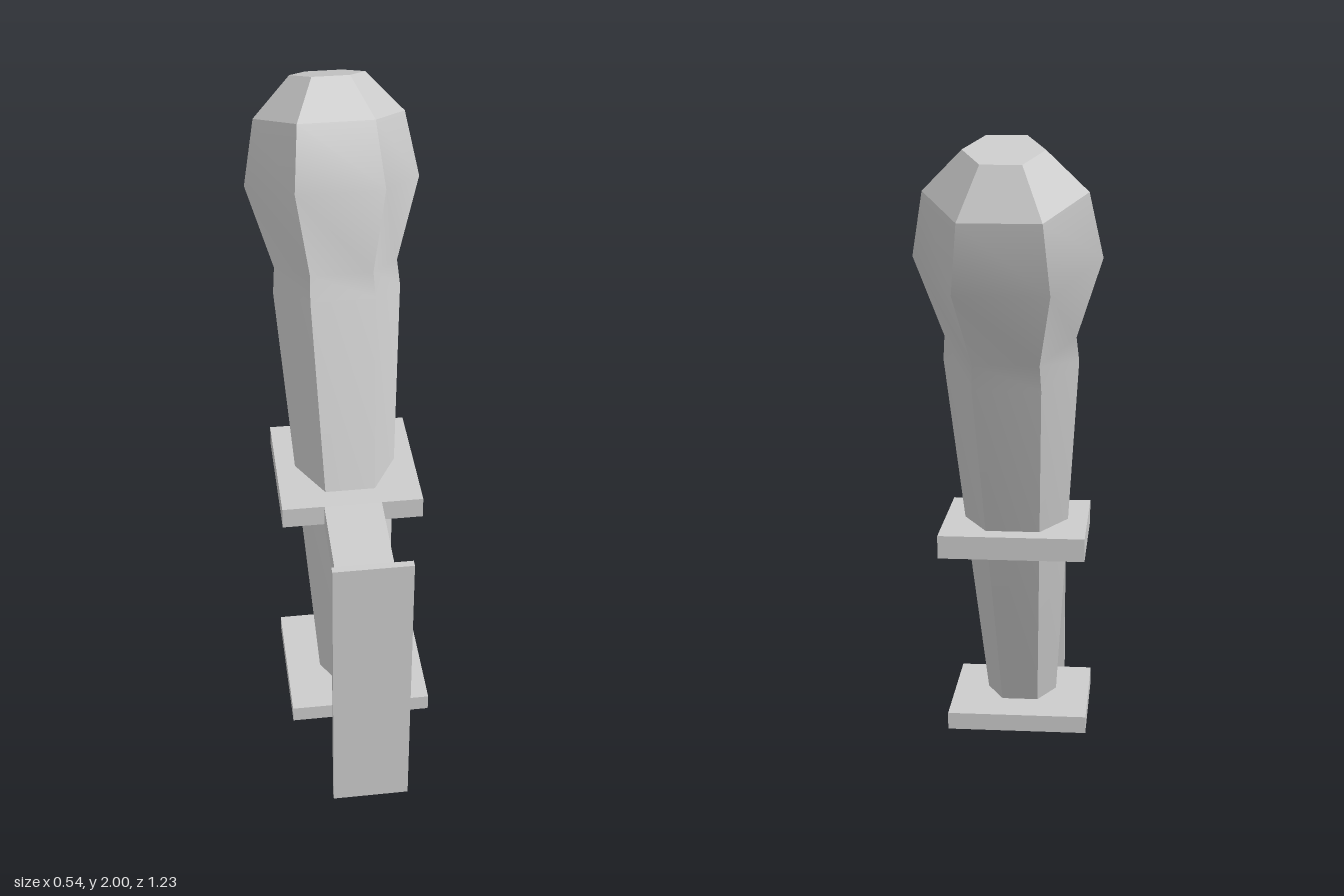
import * as THREE from 'three';
import { toCreasedNormals } from 'three/addons/utils/BufferGeometryUtils.js';

export function createModel() {
  const model = new THREE.Group();
  model.name = 'wallTorch';
  const material = new THREE.MeshStandardMaterial({ color: 0xcccccc });

  function add(name, geometry, parent = model) {
    const mesh = new THREE.Mesh(geometry, material);
    mesh.name = name;
    parent.add(mesh);
    return mesh;
  }

  // Six-sided lathe with corners on the +x and -x sides
  function hexLathe(profile, crease) {
    const points = profile.map(([r, y]) => new THREE.Vector2(r, y));
    return toCreasedNormals(new THREE.LatheGeometry(points, 6, Math.PI / 2), crease);
  }

  // Leaning torch: tapered shaft, bulging head and faceted crown
  const torch = new THREE.Group();
  torch.name = 'torch';
  torch.position.set(0, 0.055, 0.225);
  torch.rotation.x = -0.345;
  model.add(torch);
  add('shaftAndHead', hexLathe(
    [[0, 0], [0.104, 0], [0.198, 1.379], [0.191, 1.458], [0.268, 1.713], [0.23, 1.912]], 0.6), torch);
  add('crown', hexLathe([[0.23, 1.912], [0.114, 2.034], [0, 2.034]], 0.1), torch);

  // Wall plate
  add('wallPlate', new THREE.BoxGeometry(0.236, 0.955, 0.022)).position.set(0, 0.4775, 0.609);

  // Each bracket: a square holder around the shaft and a sloping arm to the wall plate
  const brackets = [
    { name: 'upper', bottom: 0.75, height: 0.07, back: -0.265, front: 0.165, wallBottom: 0.72 },
    { name: 'lower', bottom: 0.11, height: 0.054, back: -0.055, front: 0.375, wallBottom: 0.151 },
  ];
  for (const { name, bottom, height, back, front, wallBottom } of brackets) {
    add(name + 'Holder', new THREE.BoxGeometry(0.44, height, front - back))
      .position.set(0, bottom + height / 2, (front + back) / 2);

    const side = new THREE.Shape([
      new THREE.Vector2(front, bottom),
      new THREE.Vector2(0.6, wallBottom),
      new THREE.Vector2(0.6, wallBottom + height),
      new THREE.Vector2(front, bottom + height),
    ]);
    const arm = new THREE.ExtrudeGeometry(side, { depth: 0.18, bevelEnabled: false });
    arm.translate(0, 0, -0.09).rotateY(-Math.PI / 2);
    add(name + 'Arm', arm);
  }
  return model;
}
